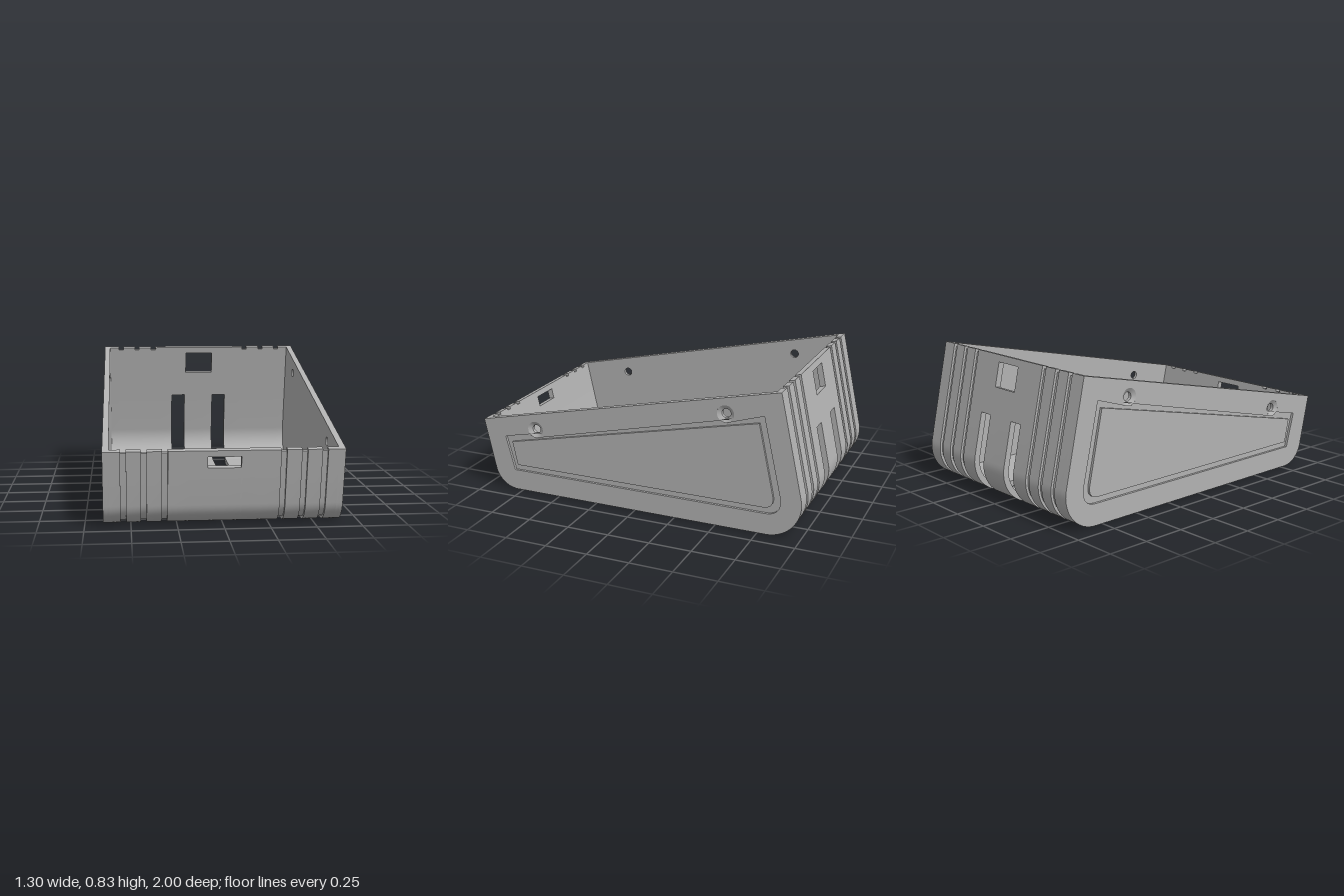
import * as THREE from 'three';
import { mergeGeometries, toCreasedNormals } from 'three/addons/utils/BufferGeometryUtils.js';

const HALF = 0.65, WALL = 0.035, CUT = 0.015, INNER = HALF - WALL;
const LEAN = 0.2135, T = Math.tan(LEAN), C = Math.cos(LEAN), S = Math.sin(LEAN);

// Side profile as stations in (z, y) with outward normals, front rim to back rim
const stations = [], mark = {};
function add(z, y, nz, ny, name) {
  if (name) mark[name] = stations.length;
  stations.push({ z, y, nz, ny });
}
function buildProfile() {
  const front = (y, n) => add(1 - (0.425 - y) * T, y, C, -S, n);
  const back = (y, n) => add(-0.867 - (0.835 - y) * T, y, -C, S, n);
  const floor = (z, n) => add(z, 0, 0, -1, n);
  const arc = (cz, r, a0, a1, count) => {
    for (let i = 0; i <= count; i++) {
      const a = a0 + (a1 - a0) * i / count;
      add(cz + r * Math.cos(a), r + r * Math.sin(a), Math.cos(a), Math.sin(a));
    }
  };
  front(0.425, 'frontRim');
  front(0.411, 'frontNotch');
  front(0.39, 'frontWindowTop');
  front(0.328, 'frontWindowBottom');
  const r = 0.15, yt = r * (1 - S);
  arc(1 - (0.425 - yt) * T - r * C, r, -LEAN, -Math.PI / 2, 12);
  floor(0.7, 'frontGrooveEnd');
  floor(0.65, 'plateFront');
  floor(0, 'plateBack');
  floor(-0.1, 'backGrooveEnd');
  floor(-0.135, 'slotEnd');
  arc(-0.8, 0.2, -Math.PI / 2, -Math.PI - LEAN, 18);
  back(0.495, 'slotTop');
  back(0.655, 'backWindowBottom');
  back(0.795, 'backWindowTop');
  back(0.82, 'backNotch');
  back(0.835, 'backRim');
}

// Extrude a (z, y) shape sideways between two x positions
function slab(shape, x0, x1) {
  const g = new THREE.ExtrudeGeometry(shape, { depth: x1 - x0, bevelEnabled: false, curveSegments: 24 });
  return g.rotateY(-Math.PI / 2).translate(x1, 0, 0);
}

// Piece of the curved wall between two stations, set in by the groove depth
function section(from, to, depth) {
  const part = stations.slice(mark[from], mark[to] + 1);
  const offset = (d) => part.map((p) => new THREE.Vector2(p.z - p.nz * d, p.y - p.ny * d));
  return new THREE.Shape([...offset(depth), ...offset(WALL).reverse()]);
}

const SECTIONS = {
  plain: [['frontRim', 'plateFront', 0], ['plateBack', 'backRim', 0]],
  groove: [['frontNotch', 'frontGrooveEnd', CUT], ['frontGrooveEnd', 'plateFront', 0],
    ['plateBack', 'backGrooveEnd', 0], ['backGrooveEnd', 'backNotch', CUT]],
  slot: [['frontRim', 'plateFront', 0], ['plateBack', 'slotEnd', 0], ['slotTop', 'backRim', 0]],
  window: [['frontRim', 'frontWindowTop', 0], ['frontWindowBottom', 'plateFront', 0],
    ['plateBack', 'backWindowBottom', 0], ['backWindowTop', 'backRim', 0]],
};

// Bands from the centre outwards: outer x limit and type
const BANDS = [[0.09, 'window'], [0.098, 'plain'], [0.187, 'slot'], [0.303, 'plain'], [0.333, 'groove'],
  [0.415, 'plain'], [0.445, 'groove'], [0.525, 'plain'], [0.555, 'groove'], [INNER, 'plain']];

// Panel outline with one rounded lower back corner
function panel(Type, frontTop, backTop, side, corner, bottom, frontBottom) {
  const s = new Type();
  s.moveTo(...frontTop);
  s.lineTo(...backTop);
  s.lineTo(...side);
  s.quadraticCurveTo(...corner, ...bottom);
  s.lineTo(...frontBottom);
  s.closePath();
  return s;
}
const circle = (x, y, r) => new THREE.Path().absarc(x, y, r, 0, Math.PI * 2);
const SCREWS = [[0.645, 0.405], [-0.553, 0.672]];

export function createModel() {
  stations.length = 0;
  buildProfile();
  const group = new THREE.Group();
  const grey = new THREE.MeshStandardMaterial({ color: 0xb2b2b2, side: THREE.DoubleSide });
  grey.name = 'plain grey';
  const mesh = (name, geometry, parent = group) => {
    const m = new THREE.Mesh(geometry, grey);
    m.name = name;
    parent.add(m);
    return m;
  };

  // Front, bottom and back as one curved wall with grooves, slots and windows
  const pieces = [];
  let x0 = 0;
  for (const [x1, type] of BANDS) {
    for (const [from, to, depth] of SECTIONS[type]) {
      const shape = section(from, to, depth);
      pieces.push(slab(shape, x0, x1), slab(shape, -x1, -x0));
    }
    x0 = x1;
  }
  mesh('curvedWall', toCreasedNormals(mergeGeometries(pieces), 0.5));

  // Floor plate with round vents
  const plate = new THREE.Shape([[-INNER, 0], [INNER, 0], [INNER, 0.65], [-INNER, 0.65]]
    .map((p) => new THREE.Vector2(...p)));
  for (const z of [0.108, 0.54])
    for (const x of [-0.398, -0.132, 0.132, 0.398]) plate.holes.push(circle(x, z, 0.076));
  const plateGeometry = new THREE.ExtrudeGeometry(plate, { depth: WALL, bevelEnabled: false, curveSegments: 24 });
  plateGeometry.rotateX(Math.PI / 2).translate(0, WALL, 0);
  mesh('ventedFloor', toCreasedNormals(plateGeometry, 0.5));

  // Ribs across the floor
  for (const z of [-0.075, 0.315])
    mesh('floorRib', new THREE.BoxGeometry(INNER * 2, 0.06, 0.03).translate(0, 0.06, z));

  // Side walls: inner sheet, outer sheet with a panel opening, inset panel, countersinks
  const outline = () => new THREE.Shape(stations.map((p) => new THREE.Vector2(p.z, p.y)));
  const inner = outline(), outer = outline();
  for (const [z, y] of SCREWS) {
    inner.holes.push(circle(z, y, 0.026));
    outer.holes.push(circle(z, y, 0.05));
  }
  outer.holes.push(panel(THREE.Path, [0.855, 0.335], [-0.775, 0.69], [-0.877, 0.235],
    [-0.895, 0.125], [-0.79, 0.125], [0.8, 0.125]));
  const inset = panel(THREE.Shape, [0.81, 0.305], [-0.747, 0.645], [-0.834, 0.24],
    [-0.852, 0.16], [-0.775, 0.16], [0.78, 0.16]);
  for (const side of [1, -1]) {
    const wall = new THREE.Group();
    wall.name = side > 0 ? 'leftWall' : 'rightWall';
    group.add(wall);
    const sheet = (name, shape, a, b) => mesh(name,
      toCreasedNormals(side > 0 ? slab(shape, a, b) : slab(shape, -b, -a), 0.5), wall);
    sheet('innerSheet', inner, INNER, HALF - CUT);
    sheet('outerSheet', outer, HALF - CUT, HALF);
    sheet('insetPanel', inset, HALF - CUT, HALF);
    for (const [z, y] of SCREWS) {
      const cone = new THREE.CylinderGeometry(0.05, 0.026, CUT, 32, 1, true);
      cone.rotateZ(-side * Math.PI / 2).translate(side * (HALF - CUT / 2), y, z);
      mesh('screwCountersink', cone, wall);
    }
  }
  return group;
}
